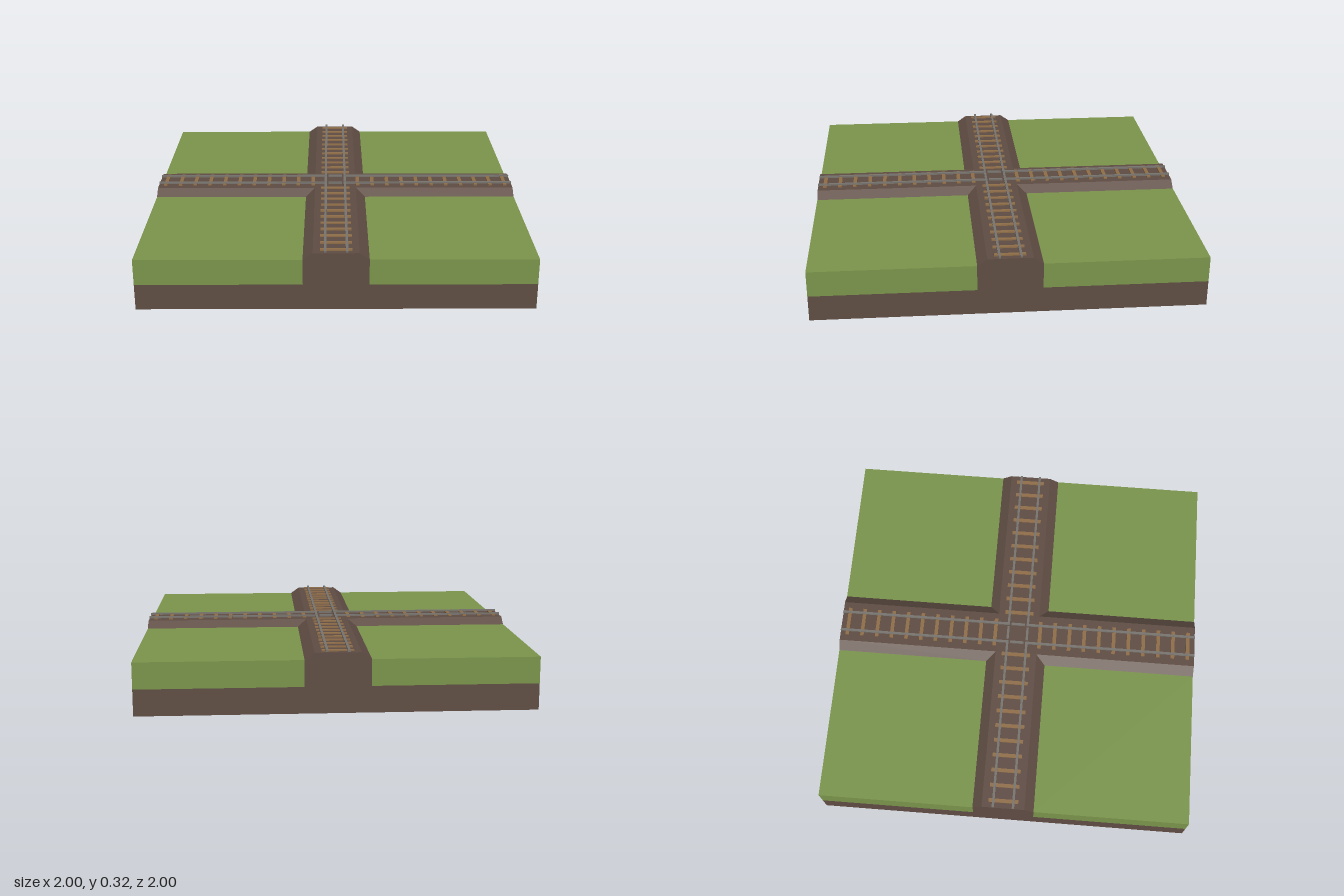
import * as THREE from 'three';

const EDGE = 1, BASE = 0.165, CREST = 0.115;         // tile half size, embankment half widths
const SOIL_Y = 0.135, GRASS_Y = 0.27, CREST_Y = 0.305;

const material = (color, side = THREE.FrontSide) =>
  new THREE.MeshStandardMaterial({ color, side, flatShading: true });

// Flat four-cornered faces, corners anticlockwise seen from outside
function quads(faces) {
  const pos = [];
  for (const [a, b, c, d] of faces) pos.push(...a, ...b, ...c, ...a, ...c, ...d);
  const g = new THREE.BufferGeometry();
  g.setAttribute('position', new THREE.Float32BufferAttribute(pos, 3));
  g.computeVertexNormals();
  return g;
}

export function createModel() {
  const model = new THREE.Group();
  model.name = 'railCrossingTile';
  const soil = material(0x5e4c43, THREE.DoubleSide);
  const grass = material(0x7a944b, THREE.DoubleSide);
  const wood = material(0x8f6d48);
  const steel = material(0x77736e);

  const add = (parent, name, geometry, mat) => {
    const mesh = new THREE.Mesh(geometry, mat);
    mesh.name = name;
    parent.add(mesh);
    return mesh;
  };

  // Outer soil wall with the raised embankment end
  const wall = new THREE.ShapeGeometry(new THREE.Shape([
    [-EDGE, 0], [EDGE, 0], [EDGE, SOIL_Y], [BASE, SOIL_Y], [BASE, GRASS_Y], [CREST, CREST_Y],
    [-CREST, CREST_Y], [-BASE, GRASS_Y], [-BASE, SOIL_Y], [-EDGE, SOIL_Y],
  ].map(([x, y]) => new THREE.Vector2(x, y)))).translate(0, 0, EDGE);

  // Crest and both slopes of one embankment arm, mitred at the crossing
  const arm = quads([
    [[-CREST, CREST_Y, EDGE], [CREST, CREST_Y, EDGE], [CREST, CREST_Y, CREST], [-CREST, CREST_Y, CREST]],
    [[CREST, CREST_Y, EDGE], [BASE, GRASS_Y, EDGE], [BASE, GRASS_Y, BASE], [CREST, CREST_Y, CREST]],
    [[-BASE, GRASS_Y, EDGE], [-CREST, CREST_Y, EDGE], [-CREST, CREST_Y, CREST], [-BASE, GRASS_Y, BASE]],
  ]);

  // Grass field of one quarter: top and its two outer sides
  const field = quads([
    [[BASE, GRASS_Y, EDGE], [EDGE, GRASS_Y, EDGE], [EDGE, GRASS_Y, BASE], [BASE, GRASS_Y, BASE]],
    [[BASE, SOIL_Y, EDGE], [EDGE, SOIL_Y, EDGE], [EDGE, GRASS_Y, EDGE], [BASE, GRASS_Y, EDGE]],
    [[EDGE, SOIL_Y, EDGE], [EDGE, SOIL_Y, BASE], [EDGE, GRASS_Y, BASE], [EDGE, GRASS_Y, EDGE]],
  ]);

  const sleeper = new THREE.BoxGeometry(0.16, 0.01, 0.02);
  const railPiece = (length) => new THREE.BoxGeometry(0.013, 0.01, length);
  const railX = 0.054, railY = 0.313, gapIn = 0.038, gapOut = 0.047;

  for (let k = 0; k < 4; k++) {
    const quarter = new THREE.Group();
    quarter.name = 'quarter' + (k + 1);
    quarter.rotation.y = k * Math.PI / 2;
    model.add(quarter);
    add(quarter, 'soilWall', wall, soil);
    add(quarter, 'embankment', arm, soil);
    add(quarter, 'grassField', field, grass);

    // Sleepers stop short of the crossing
    for (let i = 0; i < 11; i++)
      add(quarter, 'sleeper', sleeper, wood).position.set(0, 0.307, 0.126 + i * 0.0835);

    // Running rails of this arm
    for (const s of [-1, 1])
      add(quarter, 'rail', railPiece(EDGE - gapOut), steel)
        .position.set(s * railX, railY, (EDGE + gapOut) / 2);

    // Short rail inside the crossing, separated by wheel gaps
    add(quarter, 'crossingRail', railPiece(2 * gapIn), steel).position.set(railX, railY, 0);
  }

  // Flat middle of the crossing
  add(model, 'crossingBed', new THREE.PlaneGeometry(2 * CREST, 2 * CREST)
    .rotateX(-Math.PI / 2).translate(0, CREST_Y, 0), soil);

  return model;
}
